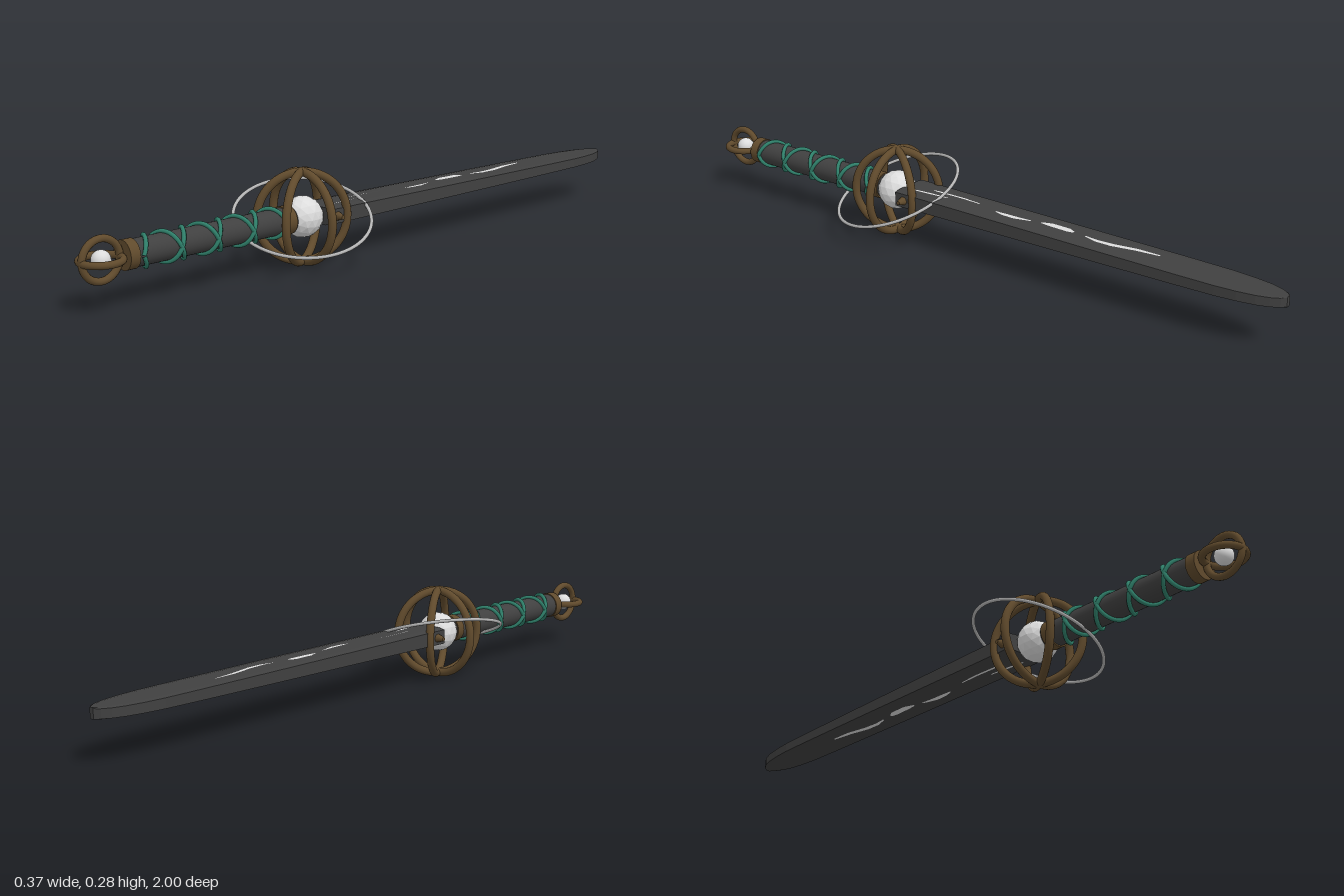
import * as THREE from 'three';

const AXIS_Y = 0.139;  // height of the sword's long axis
const GUARD_Z = 0.285;
const POMMEL_Z = 0.935;

const mat = (name, color, extra = {}) => {
  const m = new THREE.MeshStandardMaterial({ color, ...extra });
  m.name = name;
  return m;
};

// Blade half thickness, thinning towards the tip
const halfThickness = z => 0.023 + 0.008 * z;

// Joins equal-sized cross-sections (closed loops) into a solid with end caps
function loft(sections) {
  const n = sections[0].length, pos = [], tri = (a, b, c) => pos.push(...a, ...b, ...c);
  for (let i = 0; i < sections.length - 1; i++) {
    const A = sections[i], B = sections[i + 1];
    for (let j = 0; j < n; j++) {
      const k = (j + 1) % n;
      tri(A[j], B[k], A[k]);
      tri(A[j], B[j], B[k]);
    }
  }
  const first = sections[0], last = sections[sections.length - 1];
  for (let j = 1; j < n - 1; j++) {
    tri(first[0], first[j], first[j + 1]);
    tri(last[0], last[j + 1], last[j]);
  }
  const g = new THREE.BufferGeometry();
  g.setAttribute('position', new THREE.Float32BufferAttribute(pos, 3));
  g.computeVertexNormals();
  return g;
}

// Thin ribbon lying on a blade face; rows are [z, centre x, width]
function ribbon(rows, side) {
  const pos = [], idx = [];
  rows.forEach(([z, x, w], i) => {
    const y = side * (halfThickness(z) + 0.001);
    pos.push(x - w / 2, y, z, x + w / 2, y, z);
    if (i) {
      const a = 2 * i - 2;
      if (side > 0) idx.push(a, a + 2, a + 1, a + 1, a + 2, a + 3);
      else idx.push(a, a + 1, a + 2, a + 1, a + 3, a + 2);
    }
  });
  const g = new THREE.BufferGeometry();
  g.setAttribute('position', new THREE.Float32BufferAttribute(pos, 3));
  g.setIndex(idx);
  g.computeVertexNormals();
  return g;
}

export function createModel() {
  const steel = mat('dark steel', 0x404040);
  const bronze = mat('bronze', 0x604a2c);
  const teal = mat('teal cord', 0x2f7f6a);
  const white = mat('pale stone', 0xdcdcdc);
  const silver = mat('silver', 0xb4b4b4);
  const facetedWhite = mat('faceted pale stone', 0xdcdcdc, { flatShading: true });

  const model = new THREE.Group();
  model.name = 'sword';
  const body = new THREE.Group();
  body.name = 'swordBody';
  body.position.y = AXIS_Y;
  model.add(body);

  const add = (name, geo, material, x = 0, y = 0, z = 0) => {
    const m = new THREE.Mesh(geo, material);
    m.name = name;
    m.position.set(x, y, z);
    body.add(m);
    return m;
  };

  // Blade: outline of [z, half width], blunt edges and a rounded tip
  const outline = [[0.24, 0.064], [0, 0.063], [-0.4, 0.062], [-0.7, 0.06], [-0.82, 0.058],
    [-0.88, 0.053], [-0.93, 0.045], [-0.965, 0.034], [-0.988, 0.021], [-1, 0.007]];
  add('blade', loft(outline.map(([z, w]) => {
    const h = halfThickness(z), e = 0.85 * h, f = 0.7 * w;
    return [[w, -e, z], [w, e, z], [f, h, z], [-f, h, z], [-w, e, z], [-w, -e, z], [-f, -h, z], [f, -h, z]];
  })), steel);

  // Pale veins on both faces of the blade
  const veins = [
    [[-0.62, -0.012, 0.006], [-0.55, -0.007, 0.014], [-0.48, 0.007, 0.016], [-0.43, 0.009, 0.013], [-0.39, 0.001, 0.005]],
    [[-0.35, -0.002, 0.008], [-0.33, -0.006, 0.022], [-0.27, -0.007, 0.021], [-0.24, -0.003, 0.006]],
    [[-0.21, 0.004, 0.005], [-0.16, 0.013, 0.016], [-0.12, 0.013, 0.014], [-0.09, 0.01, 0.004]],
    [[-0.02, -0.008, 0.004], [0.04, -0.012, 0.007], [0.13, -0.01, 0.007], [0.15, -0.008, 0.004]],
    [[0.08, 0.014, 0.004], [0.14, 0.018, 0.008], [0.2, 0.024, 0.006]],
  ];
  for (const side of [1, -1]) veins.forEach(v => add('bladeVein', ribbon(v, side), white));

  // Guard: faceted orb inside three upright rings set 60 degrees apart
  add('guardOrb', new THREE.IcosahedronGeometry(0.059, 2), facetedWhite, 0, 0, GUARD_Z);
  for (let i = 0; i < 3; i++) {
    add('guardRing', new THREE.TorusGeometry(0.127, 0.012, 14, 64), bronze, 0, 0, GUARD_Z)
      .rotation.y = i * Math.PI / 3;
  }

  // Short pointed quillons beside the blade root
  for (const s of [1, -1]) {
    add('quillon', new THREE.CylinderGeometry(0.006, 0.016, 0.034, 12), bronze, s * 0.07, 0, 0.21)
      .rotation.z = -s * Math.PI / 2;
  }

  // Thin tilted orbit ring around the guard
  const orbit = add('orbitRing', new THREE.TorusGeometry(0.192, 0.005, 10, 96), silver, 0, 0, 0.284);
  orbit.quaternion.setFromUnitVectors(new THREE.Vector3(0, 0, 1), new THREE.Vector3(0.34, 1, 0.2).normalize());

  // Grip with a collar at each end
  const rod = (name, r, z0, z1, material) =>
    add(name, new THREE.CylinderGeometry(r, r, z1 - z0, 32), material, 0, 0, (z0 + z1) / 2)
      .rotation.x = Math.PI / 2;
  rod('grip', 0.037, 0.33, 0.86, steel);
  rod('upperCollar', 0.041, 0.335, 0.362, bronze);
  rod('lowerCollar', 0.04, 0.843, 0.872, bronze);

  // Two cords wound in opposite directions, crossing at the sides
  for (const dir of [1, -1]) {
    const pts = [];
    for (let i = 0; i <= 100; i++) {
      const a = dir * i / 100 * 4 * Math.PI * 2;
      pts.push(new THREE.Vector3(0.041 * Math.cos(a), 0.041 * Math.sin(a), 0.37 + 0.465 * i / 100));
    }
    add('gripCord', new THREE.TubeGeometry(new THREE.CatmullRomCurve3(pts), 240, 0.006, 8), teal);
  }

  // Pommel: small orb in two crossed rings
  add('pommelOrb', new THREE.SphereGeometry(0.026, 24, 16), white, 0, 0, POMMEL_Z);
  for (const axis of ['x', 'y']) {
    add('pommelRing', new THREE.TorusGeometry(0.055, 0.01, 12, 48), bronze, 0, 0, POMMEL_Z)
      .rotation[axis] = Math.PI / 2;
  }

  return model;
}
